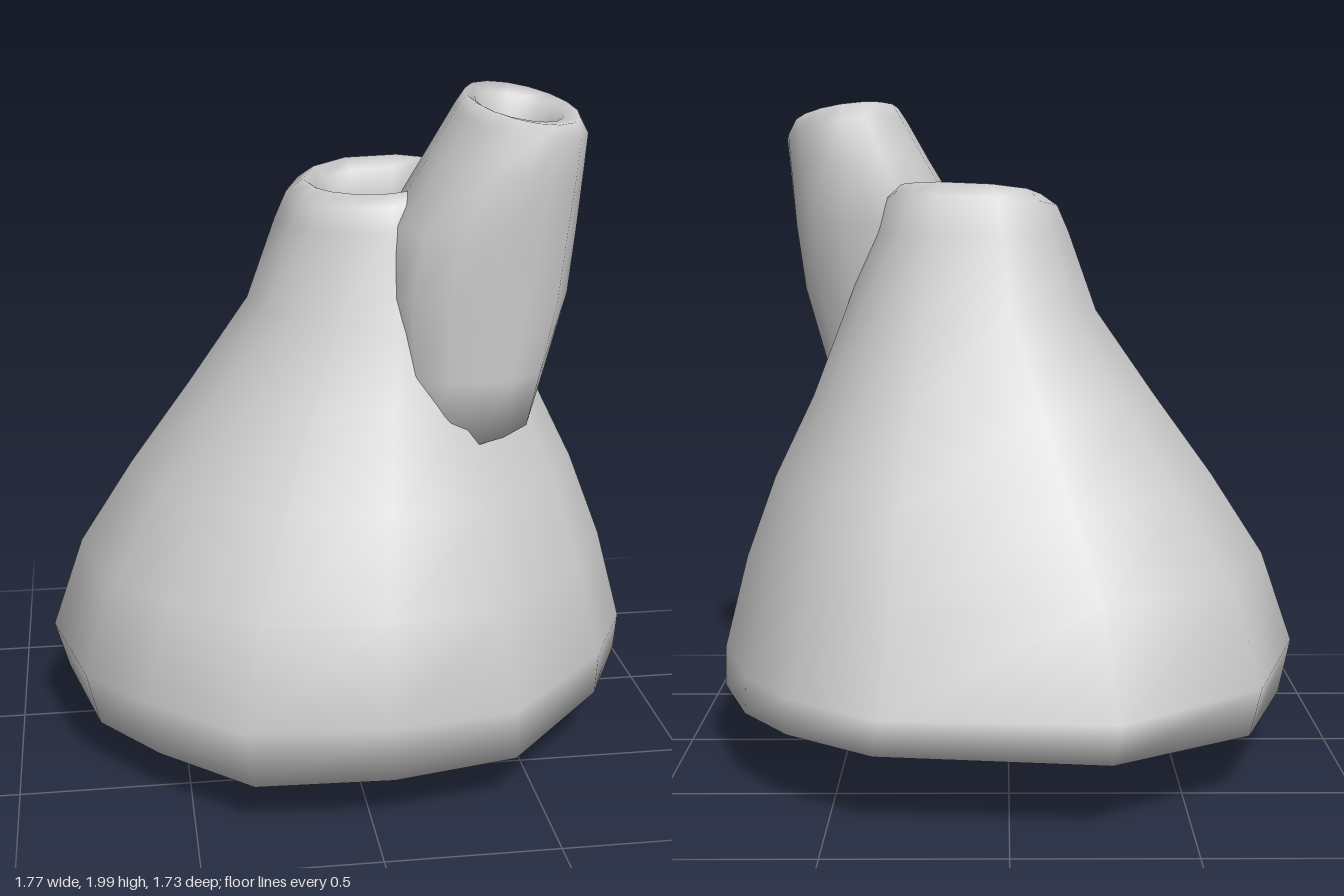
import * as THREE from 'three';

const material = new THREE.MeshStandardMaterial({ color: 0xcccccc });

// Irregular plan of the skirt, as [x, z] corners running from +x towards +z
const PLAN = [[0.88, -0.06], [0.88, 0.18], [0.74, 0.46], [0.41, 0.8], [0.04, 0.86], [-0.36, 0.83], [-0.62, 0.6],
  [-0.79, 0.39], [-0.885, 0], [-0.72, -0.53], [-0.3, -0.86], [0.36, -0.82], [0.62, -0.62], [0.77, -0.4]]
  .map(([x, z]) => [x / 0.88, z / 0.86]);

// Rounded square plan of the spout
const SPOUT_PLAN = Array.from({ length: 16 }, (_, i) => {
  const a = (i / 16) * Math.PI * 2, c = Math.cos(a), s = Math.sin(a);
  const r = (c ** 4 + s ** 4) ** -0.25;
  return [c * r, s * r];
});

// Skin through rings [y, x0, x1, z0, z1, roundness, slopeX, slopeZ].
// Rings that rise face outwards; rings that descend face the axis.
function loft(name, plan, rings) {
  const n = plan.length, pos = [], index = [];
  for (const [y, x0, x1, z0, z1, round = 0, sx = 0, sz = 0] of rings) {
    for (const [px, pz] of plan) {
      const k = 1 + (1 / Math.hypot(px, pz) - 1) * round;
      const u = px * k, v = pz * k;
      pos.push((x0 + x1) / 2 + u * (x1 - x0) / 2, y + sx * u + sz * v, (z0 + z1) / 2 + v * (z1 - z0) / 2);
    }
  }
  for (let i = 0; i < rings.length - 1; i++) {
    for (let j = 0; j < n; j++) {
      const a = i * n + j, b = i * n + (j + 1) % n;
      index.push(a, a + n, b, b, a + n, b + n);
    }
  }
  const geometry = new THREE.BufferGeometry();
  geometry.setAttribute('position', new THREE.Float32BufferAttribute(pos, 3));
  geometry.setIndex(index);
  geometry.computeVertexNormals();
  const mesh = new THREE.Mesh(geometry, material);
  mesh.name = name;
  return mesh;
}

// Squashed ball with a flattened underside and gentle dents
function lump(name, [x, y, z], [rx, ry, rz], flat) {
  const geometry = new THREE.SphereGeometry(1, 14, 10);
  const p = geometry.attributes.position;
  for (let i = 0; i < p.count; i++) {
    const a = p.getX(i), b = p.getY(i), c = p.getZ(i);
    const k = 1 + 0.05 * Math.sin(3 * a + 2 * c) * Math.cos(3 * b - c);
    p.setXYZ(i, x + a * rx * k, Math.max(y + b * ry * k, flat + 0.02 * (a * a + c * c)), z + c * rz * k);
  }
  geometry.computeVertexNormals();
  const mesh = new THREE.Mesh(geometry, material);
  mesh.name = name;
  return mesh;
}

export function createModel() {
  const model = new THREE.Group();
  model.name = 'bell';

  // One smooth skin: cavity, rim, outer wall, rolled lip and the hollow at the top
  model.add(loft('shell', PLAN, [
    [0.95, 0.02, 0.02, 0, 0, 1],
    [0.92, -0.25, 0.3, -0.25, 0.27, 0.7],
    [0.75, -0.45, 0.5, -0.43, 0.46, 0.4],
    [0.5, -0.62, 0.66, -0.57, 0.59, 0.1],
    [0.2, -0.7, 0.77, -0.68, 0.65, 0, 0.025, -0.03],
    [0.18, -0.845, 0.88, -0.86, 0.83, 0, 0.02, -0.03],
    [0.32, -0.885, 0.88, -0.845, 0.87, 0, 0, 0.01],
    [0.6, -0.79, 0.81, -0.735, 0.77, 0.15],
    [0.85, -0.63, 0.72, -0.59, 0.63, 0.4],
    [1.1, -0.45, 0.6, -0.44, 0.49, 0.7],
    [1.36, -0.27, 0.5, -0.325, 0.38, 0.9],
    [1.6, -0.185, 0.41, -0.25, 0.31, 1],
    [1.69, -0.15, 0.38, -0.215, 0.28, 1, 0.01, -0.02],
    [1.725, -0.1, 0.34, -0.145, 0.23, 1, 0.01, -0.025],
    [1.7, -0.06, 0.3, -0.09, 0.19, 1, 0.01, -0.02],
    [1.62, -0.05, 0.28, -0.08, 0.17, 1],
    [1.45, -0.02, 0.26, -0.06, 0.15, 1],
    [1.4, 0.12, 0.12, 0.04, 0.04, 1],
  ]));

  // Leaning spout with a thick lip and a blind hole
  model.add(loft('spout', SPOUT_PLAN, [
    [1.03, 0.32, 0.32, 0.22, 0.22],
    [1.05, 0.16, 0.54, 0.03, 0.47, 0.3, 0.04, -0.04],
    [1.2, 0.13, 0.58, 0.015, 0.475, 0.3],
    [1.42, 0.1, 0.645, 0, 0.475, 0.5],
    [1.62, 0.13, 0.67, -0.05, 0.485, 0.6],
    [1.8, 0.25, 0.685, -0.03, 0.475, 0.8, -0.02, -0.02],
    [1.91, 0.315, 0.695, -0.01, 0.465, 1, -0.025, -0.025],
    [1.955, 0.345, 0.67, 0.025, 0.44, 1, -0.025, -0.03],
    [1.94, 0.375, 0.63, 0.08, 0.35, 1, -0.02, -0.02],
    [1.88, 0.385, 0.61, 0.1, 0.32, 1],
    [1.76, 0.4, 0.58, 0.13, 0.3, 1],
    [1.72, 0.49, 0.49, 0.21, 0.21, 1],
  ]));

  // Clapper: a large lump with a smaller one pressed into its side
  const clapper = new THREE.Group();
  clapper.name = 'clapper';
  clapper.add(lump('clapperMain', [-0.13, 0.21, 0.02], [0.33, 0.26, 0.345], 0));
  clapper.add(lump('clapperSide', [0.07, 0.2, 0.03], [0.175, 0.19, 0.23], 0.05));
  model.add(clapper);

  return model;
}
